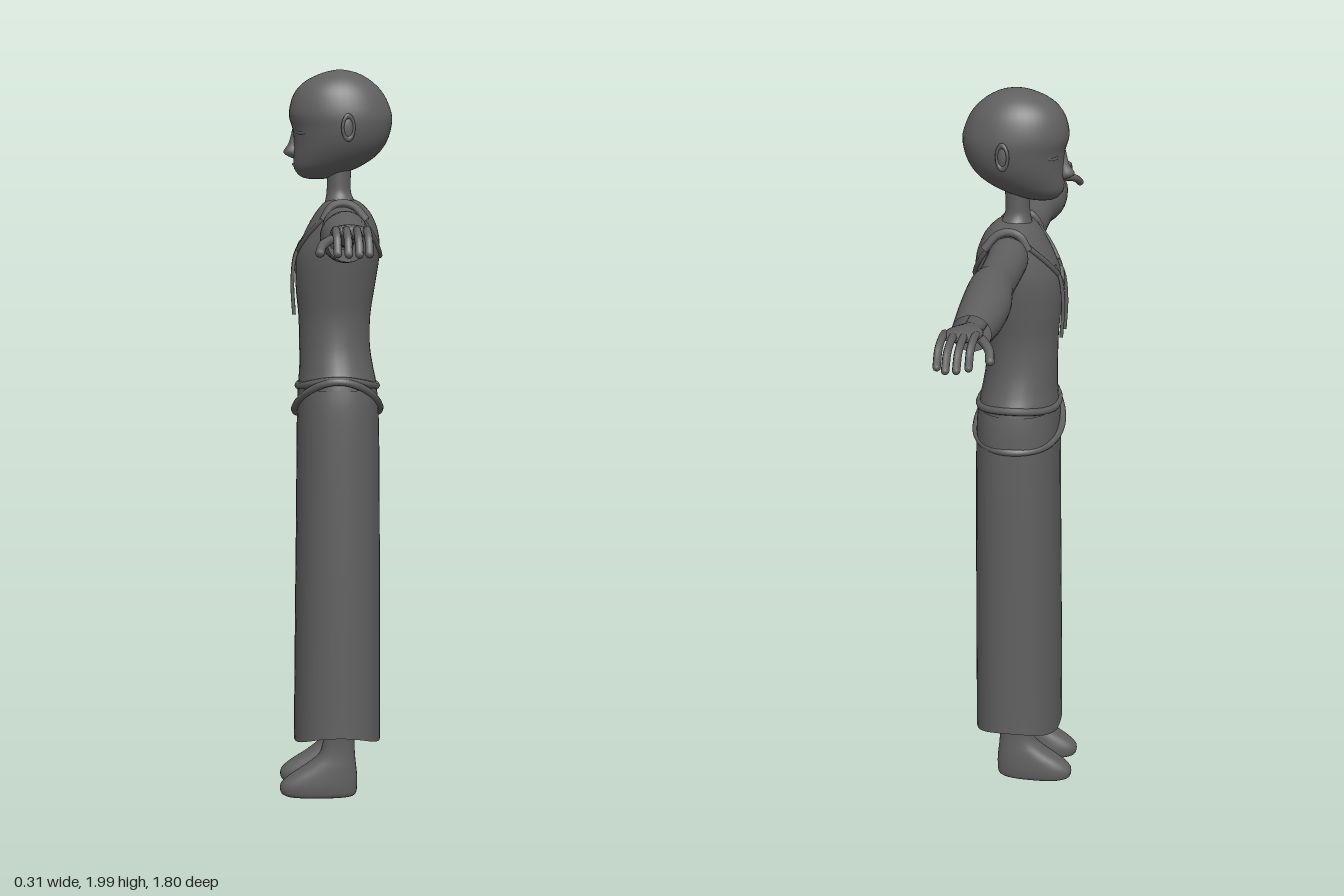
import * as THREE from 'three';

const V = (x, y, z) => new THREE.Vector3(x, y, z);

// Catmull-Rom blend through a list of rings [height, xMin, xMax, halfDepth, depthCentre]
function ringAt(rings, t) {
  const n = rings.length - 1;
  const i = Math.min(Math.floor(t), n - 1), f = t - i;
  const [p0, p1, p2, p3] = [-1, 0, 1, 2].map(k => rings[Math.max(0, Math.min(n, i + k))]);
  return p1.map((b, k) => {
    const a = p0[k], c = p2[k], d = p3[k];
    return b + 0.5 * f * (c - a + f * (2 * a - 5 * b + 4 * c - d + f * (3 * (b - c) + d - a)));
  });
}

// Point on a ring at angle a: 0 is +x (back), PI is -x (front)
function ringPoint(r, a, power = 1) {
  const c = Math.cos(a), s = Math.sin(a);
  const sq = v => Math.sign(v) * Math.pow(Math.abs(v), power);
  return V((r[1] + r[2]) / 2 + (r[2] - r[1]) / 2 * sq(c), r[0], (r[4] || 0) + r[3] * sq(s));
}

// Smooth skin over rings listed from bottom to top
function loft(rings, { sides = 32, steps = 4, power = 1, bottom = true, top = true, shape = null } = {}) {
  const pos = [], idx = [], rows = (rings.length - 1) * steps;
  for (let i = 0; i <= rows; i++) {
    const r = ringAt(rings, i / steps);
    for (let j = 0; j < sides; j++) {
      const a = j / sides * Math.PI * 2, p = ringPoint(r, a, power);
      if (shape) shape(p, a);
      pos.push(p.x, p.y, p.z);
    }
  }
  for (let i = 0; i < rows; i++) for (let j = 0; j < sides; j++) {
    const k = (j + 1) % sides, a = i * sides + j, b = i * sides + k;
    idx.push(a, a + sides, b, b, a + sides, b + sides);
  }
  const cap = (row, up) => {
    const r = ringAt(rings, row / steps), c = pos.length / 3;
    pos.push((r[1] + r[2]) / 2, r[0], r[4] || 0);
    for (let j = 0; j < sides; j++) {
      const a = row * sides + j, b = row * sides + (j + 1) % sides;
      if (up) idx.push(a, c, b); else idx.push(a, b, c);
    }
  };
  if (bottom) cap(0, false);
  if (top) cap(rows, true);
  const g = new THREE.BufferGeometry();
  g.setAttribute('position', new THREE.Float32BufferAttribute(pos, 3));
  g.setIndex(idx);
  g.computeVertexNormals();
  return g;
}

const tube = (pts, r, closed = false, seg = 16) =>
  new THREE.TubeGeometry(new THREE.CatmullRomCurve3(pts, closed), seg, r, 8, closed);

// Mirror across z = 0, keeping faces outward
function mirrored(g) {
  const m = g.clone().scale(1, 1, -1), ix = m.index;
  for (let i = 0; i < ix.count; i += 3) {
    const t = ix.getX(i);
    ix.setX(i, ix.getX(i + 1));
    ix.setX(i + 1, t);
  }
  return m;
}

export function createModel() {
  const charcoal = new THREE.MeshStandardMaterial({ color: 0x606060, side: THREE.DoubleSide });
  charcoal.name = 'charcoal';
  const model = new THREE.Group();
  model.name = 'robedFigure';
  const add = (name, g) => {
    const m = new THREE.Mesh(g, charcoal);
    m.name = name;
    model.add(m);
  };
  const pair = (name, g) => { add(name + 'Left', g); add(name + 'Right', mirrored(g)); };

  // Head and face (facing -x)
  add('head', loft([
    [1.708, -0.07, -0.03, 0.008], [1.714, -0.092, -0.005, 0.03], [1.735, -0.11, 0.055, 0.058],
    [1.765, -0.112, 0.105, 0.082], [1.80, -0.111, 0.135, 0.1], [1.84, -0.114, 0.15, 0.11],
    [1.88, -0.124, 0.152, 0.112], [1.93, -0.112, 0.132, 0.1], [1.965, -0.082, 0.1, 0.077],
    [1.988, -0.035, 0.06, 0.043], [1.997, 0.005, 0.02, 0.008]], { sides: 40 }));
  add('nose', loft([
    [1.762, -0.112, -0.095, 0.008], [1.778, -0.139, -0.09, 0.017],
    [1.805, -0.124, -0.09, 0.011], [1.845, -0.114, -0.09, 0.006]], { sides: 16 }));
  add('mouth', tube([V(-0.1, 1.745, 0.024), V(-0.112, 1.747, 0), V(-0.1, 1.745, -0.024)], 0.004));
  pair('eyelid', tube([V(-0.104, 1.836, 0.03), V(-0.091, 1.829, 0.055), V(-0.066, 1.835, 0.078)], 0.005));
  pair('brow', tube([V(-0.113, 1.86, 0.026), V(-0.095, 1.868, 0.056), V(-0.068, 1.863, 0.08)], 0.004));
  pair('ear', new THREE.SphereGeometry(1, 16, 12).scale(0.018, 0.034, 0.01).rotateY(0.35).translate(0.032, 1.842, 0.108));
  pair('earRim', new THREE.TorusGeometry(0.02, 0.005, 8, 20).scale(0.8, 1.5, 1).rotateY(0.35).translate(0.032, 1.842, 0.115));
  add('neck', loft([
    [1.58, -0.045, 0.085, 0.08], [1.63, -0.032, 0.065, 0.06], [1.665, -0.024, 0.045, 0.037],
    [1.70, -0.022, 0.042, 0.034], [1.77, -0.022, 0.045, 0.036]]));

  // Fitted bodice
  const torso = [
    [1.10, -0.104, 0.117, 0.158], [1.16, -0.101, 0.112, 0.15], [1.20, -0.098, 0.104, 0.134],
    [1.26, -0.098, 0.095, 0.118], [1.34, -0.1, 0.096, 0.113], [1.42, -0.107, 0.108, 0.124],
    [1.50, -0.106, 0.12, 0.136], [1.56, -0.085, 0.118, 0.14], [1.61, -0.058, 0.1, 0.128],
    [1.64, -0.035, 0.075, 0.1], [1.652, -0.02, 0.055, 0.05]];
  add('bodice', loft(torso));

  // Point on the bodice at a height and angle
  const onBodice = (y, a, grow) => {
    let t = 0;
    while (t < 9.98 && ringAt(torso, t)[0] < y) t += 0.02;
    const p = ringPoint(ringAt(torso, t), a);
    p.x += grow * Math.cos(a);
    p.z += grow * Math.sin(a);
    return p;
  };

  // Neckline: rounded scoop at the back, V at the front
  const neckline = [];
  for (let i = 0; i < 48; i++) {
    const a = i / 48 * Math.PI * 2, s = Math.abs(Math.sin(a));
    neckline.push(onBodice(Math.cos(a) > 0 ? 1.5 + 0.145 * s ** 1.8 : 1.48 + 0.165 * s, a, 0.001));
  }
  add('necklineTrim', tube(neckline, 0.007, true, 128));
  pair('shoulderTrim', tube([V(-0.035, 1.6, 0.112), V(-0.012, 1.636, 0.108), V(0.018, 1.645, 0.105),
    V(0.048, 1.636, 0.108), V(0.08, 1.6, 0.116)], 0.011));
  pair('lace', tube([V(-0.092, 1.54, 0.03), V(-0.109, 1.5, 0.032), V(-0.116, 1.43, 0.034), V(-0.112, 1.345, 0.036)], 0.005));

  // Long skirt, hem raised at the sides
  add('skirt', loft([
    [0.155, -0.116, 0.126, 0.173], [0.24, -0.115, 0.126, 0.171], [0.5, -0.112, 0.125, 0.168],
    [0.8, -0.108, 0.123, 0.164], [1.0, -0.106, 0.121, 0.161], [1.1, -0.104, 0.118, 0.158],
    [1.15, -0.102, 0.113, 0.152]], {
    sides: 48, power: 0.85, bottom: false, top: false,
    shape: (p, a) => { p.y += 0.043 * Math.sin(a) ** 2 * Math.max(0, 1 - (p.y - 0.155) / 0.3); }
  }));

  // Two cord belts, the lower one slung toward the right hip
  const belt = (name, rx, rz, height) => {
    const pts = [];
    for (let i = 0; i < 32; i++) {
      const a = i / 32 * Math.PI * 2;
      pts.push(V(0.006 + rx * Math.cos(a), height(Math.sin(a), Math.cos(a)), rz * Math.sin(a)));
    }
    add(name, tube(pts, 0.01, true, 96));
  };
  belt('upperBelt', 0.107, 0.149, (s, c) => 1.173 + 0.005 * s - 0.025 * c * c);
  belt('lowerBelt', 0.117, 0.157, (s, c) => 1.115 + 0.06 * s - 0.032 * c * c);

  // Arms: rings run outward, then turn so their length lies along z
  const limb = (rings, opt) => loft(rings.map(([l, x0, x1, y0, y1]) =>
    [l, x0, x1, (y1 - y0) / 2, -(y0 + y1) / 2]), opt).rotateX(Math.PI / 2);
  pair('sleeve', limb([
    [0.06, -0.02, 0.06, 1.54, 1.61], [0.12, -0.036, 0.068, 1.527, 1.636], [0.2, -0.037, 0.067, 1.528, 1.63],
    [0.32, -0.036, 0.066, 1.528, 1.628], [0.38, -0.038, 0.072, 1.526, 1.633], [0.48, -0.049, 0.071, 1.517, 1.63],
    [0.58, -0.046, 0.067, 1.514, 1.621], [0.68, -0.034, 0.06, 1.522, 1.609]], { top: false }));
  pair('hand', limb([
    [0.56, -0.017, 0.036, 1.55, 1.59], [0.67, -0.016, 0.033, 1.558, 1.594], [0.71, -0.02, 0.04, 1.565, 1.602],
    [0.76, -0.03, 0.054, 1.576, 1.612], [0.80, -0.026, 0.06, 1.583, 1.612], [0.815, -0.018, 0.054, 1.59, 1.606]], { sides: 24 }));

  // Fingers curl down toward the tips
  [[-0.018, 0.868], [0.006, 0.888], [0.03, 0.892], [0.053, 0.872]].forEach(([x, end], i) => {
    const l = end - 0.79;
    const pts = [V(x, 1.6, 0.785), V(x, 1.6, 0.79 + l * 0.45), V(x + 0.002, 1.583, 0.79 + l * 0.8), V(x + 0.003, 1.55, end)];
    pair('finger' + (i + 1), tube(pts, 0.0095));
    pair('fingertip' + (i + 1), new THREE.SphereGeometry(0.0095, 10, 8).translate(x + 0.003, 1.55, end));
  });
  pair('thumb', tube([V(-0.005, 1.58, 0.725), V(-0.032, 1.576, 0.765), V(-0.048, 1.565, 0.79), V(-0.054, 1.55, 0.815)], 0.011));
  pair('thumbTip', new THREE.SphereGeometry(0.011, 10, 8).translate(-0.054, 1.55, 0.815));

  // Legs with soft shoes
  pair('legAndFoot', loft([
    [0.003, -0.14, 0.05, 0.033, 0.064], [0.012, -0.153, 0.058, 0.04, 0.064], [0.035, -0.154, 0.06, 0.043, 0.064],
    [0.06, -0.128, 0.06, 0.042, 0.064], [0.09, -0.082, 0.057, 0.04, 0.063], [0.12, -0.047, 0.054, 0.037, 0.062],
    [0.16, -0.035, 0.053, 0.036, 0.062], [0.22, -0.032, 0.057, 0.039, 0.063], [0.5, -0.045, 0.06, 0.05, 0.068]],
    { power: 0.8 }));

  return model;
}
